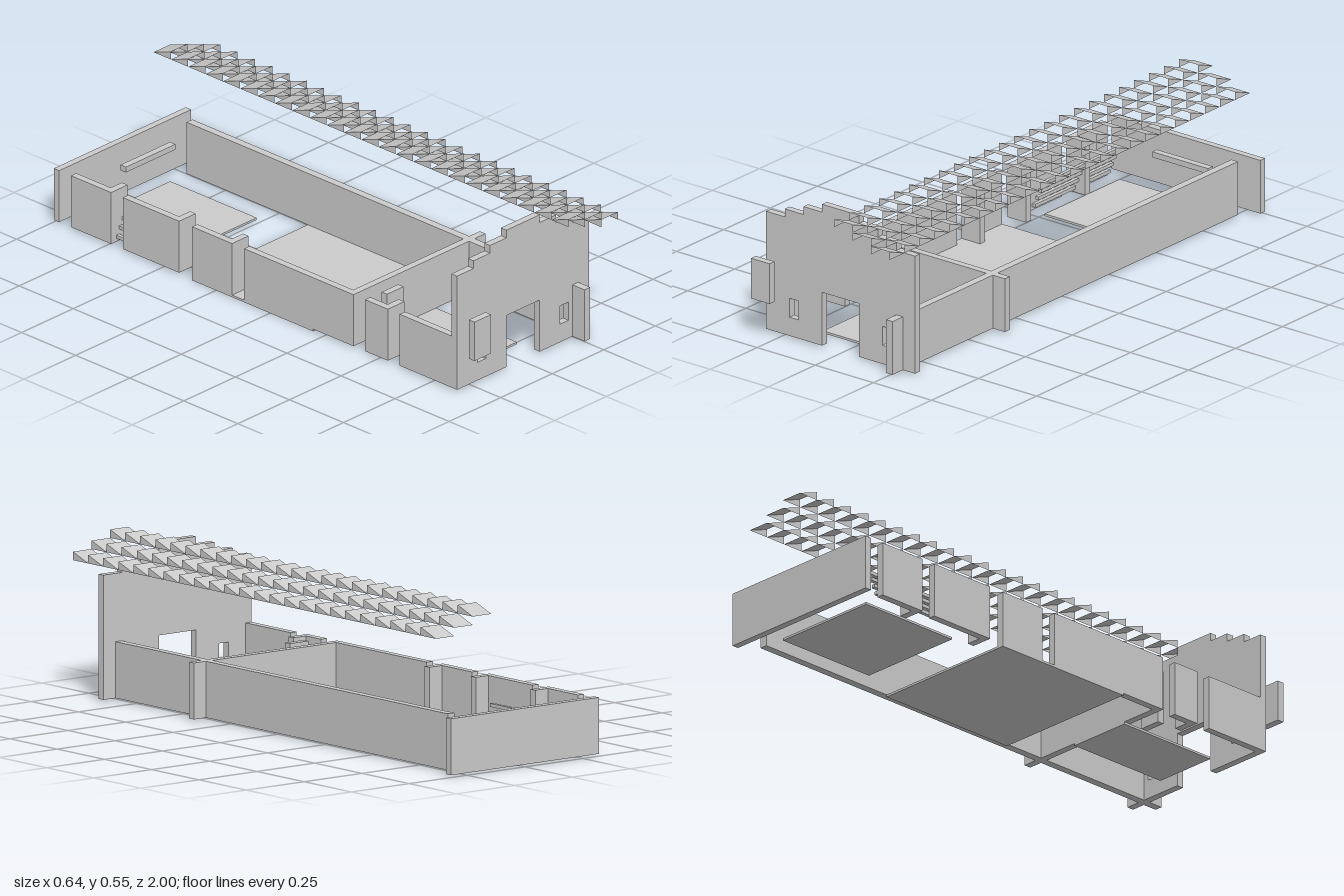
import * as THREE from 'three';

const mat = new THREE.MeshStandardMaterial({ color: 0xcccccc, flatShading: true });
const thin = new THREE.MeshStandardMaterial({ color: 0xcccccc, flatShading: true, side: THREE.DoubleSide });
const BASE = 0.008, TOP = 0.2, T = 0.026;

// Box given by its extents
function box(name, x0, x1, y0, y1, z0, z1) {
  const m = new THREE.Mesh(new THREE.BoxGeometry(x1 - x0, y1 - y0, z1 - z0), mat);
  m.position.set((x0 + x1) / 2, (y0 + y1) / 2, (z0 + z1) / 2);
  m.name = name;
  return m;
}
const wall = (name, x0, x1, z0, z1) => box(name, x0, x1, BASE, TOP, z0, z1);

// Stepped gable with a doorway and two windows
function frontWall() {
  const right = [[0.08, BASE], [0.32, BASE]];
  for (let i = 0; i < 4; i++) {
    const y = 0.432 + i * 0.0287;
    right.push([0.32 - i * 0.08, y]);
    if (i < 3) right.push([0.24 - i * 0.08, y]);
  }
  const left = right.map(([x, y]) => [-x, y]).reverse();
  const pts = [[0.08, TOP], ...right, ...left, [-0.08, TOP]];
  const shape = new THREE.Shape(pts.map(([x, y]) => new THREE.Vector2(x, y)));
  for (const c of [-0.2, 0.2]) {
    const corners = [[-0.02, 0.075], [-0.02, 0.143], [0.02, 0.143], [0.02, 0.075]];
    shape.holes.push(new THREE.Path(corners.map(([x, y]) => new THREE.Vector2(c + x, y))));
  }
  const geo = new THREE.ExtrudeGeometry(shape, { depth: T, bevelEnabled: false });
  const m = new THREE.Mesh(geo, mat);
  m.position.z = 0.839;
  m.name = 'frontWall';
  return m;
}

// Roof tile: sloping sheet, high at the front, with two triangular cheeks
function tileGeometry() {
  const w = 0.08, h = 0.0287, d = 0.08;
  const A = [0, 0, 0], B = [w, 0, 0], C = [w, h, d], D = [0, h, d], E = [w, 0, d], F = [0, 0, d];
  const tris = [A, B, C, A, C, D, B, C, E, A, F, D];
  const geo = new THREE.BufferGeometry();
  geo.setAttribute('position', new THREE.Float32BufferAttribute(tris.flat(), 3));
  geo.computeVertexNormals();
  return geo;
}

export function createModel() {
  const model = new THREE.Group();
  model.name = 'building';

  // Floors
  model.add(
    box('frontFloor', -0.16, 0.08, 0, BASE, 0.36, 0.76),
    box('middleFloor', -0.32, 0.24, 0, BASE, -0.36, 0.2),
    box('backFloor', -0.24, 0.16, 0, BASE, -0.92, -0.52)
  );

  // Main walls
  model.add(
    frontWall(),
    wall('longWall', 0.24, 0.268, -0.92, 0.92),
    wall('crossWall', -0.32, 0.32, 0.36, 0.386),
    wall('backWall', -0.32, 0.32, -1, -0.975)
  );

  // Broken side wall: runs between openings
  const runs = [[-0.92, -0.735], [-0.68, -0.42], [-0.36, -0.175], [-0.12, 0.36], [0.44, 0.545], [0.6, 0.839]];
  for (const [z0, z1] of runs) model.add(wall('sideWall', -0.32, -0.294, z0, z1));

  // Short returns at the openings
  for (const z of [-0.735, -0.42, -0.175, 0.545]) {
    model.add(wall('wallReturn', -0.294, -0.24, z - T, z));
  }
  model.add(wall('innerPartition', -0.24, -0.16, 0.44, 0.465));

  // Hanging panel, shelf and window lintels
  model.add(
    box('hangingPanel', -0.32, -0.24, 0.143, 0.288, 0.92, 0.946),
    box('shelf', -0.08, 0.16, 0.135, 0.155, -0.92, -0.895)
  );

  // Side steps
  for (let i = 0; i < 4; i++) {
    const x = -0.294 + i * 0.0135, y = 0.02 + i * 0.03;
    model.add(box('step', x, x + 0.0135, y, y + 0.012, -0.92, -0.52));
  }

  // Roof: three stepped columns of tiles
  const roof = new THREE.Group();
  roof.name = 'roof';
  const geo = tileGeometry();
  for (let c = 0; c < 3; c++) {
    for (let i = 0; i < 24; i++) {
      const tile = new THREE.Mesh(geo, thin);
      tile.position.set(0.08 + c * 0.08, 0.518 - c * 0.0287, -0.92 + i * 0.08);
      tile.name = 'roofTile';
      roof.add(tile);
    }
  }
  model.add(roof);
  return model;
}
